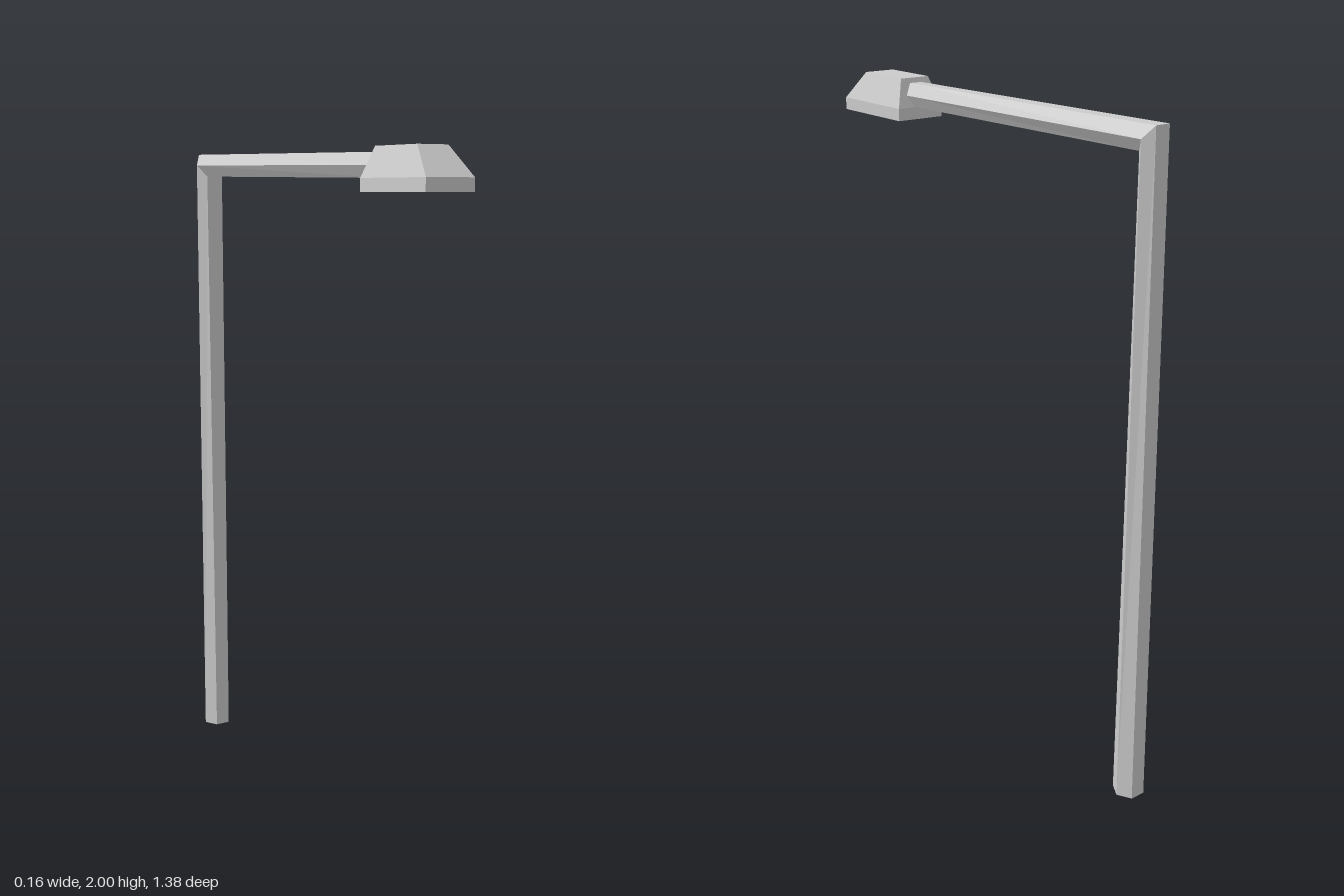
import * as THREE from 'three';

const material = new THREE.MeshStandardMaterial({ color: 0xcccccc, flatShading: true });

// Skin a list of matching rings (counter-clockwise seen from the far end) and cap both ends
function loft(name, rings) {
  const n = rings[0].length;
  const index = [];
  for (let r = 0; r < rings.length - 1; r++) {
    for (let i = 0; i < n; i++) {
      const a = r * n + i, b = r * n + (i + 1) % n;
      index.push(a, b, b + n, a, b + n, a + n);
    }
  }
  const last = (rings.length - 1) * n;
  for (let i = 1; i < n - 1; i++) {
    index.push(0, i + 1, i, last, last + i, last + i + 1);
  }
  const indexed = new THREE.BufferGeometry();
  indexed.setAttribute('position', new THREE.Float32BufferAttribute(rings.flat(2), 3));
  indexed.setIndex(index);
  const geometry = indexed.toNonIndexed();
  geometry.computeVertexNormals();
  const mesh = new THREE.Mesh(geometry, material);
  mesh.name = name;
  return mesh;
}

// Hexagon of half-width w, centred at (y, z); (dy, dz) leads to its outer flat side
function hexRing(w, y, z, dy, dz) {
  return Array.from({ length: 6 }, (_, i) => {
    const a = i * Math.PI / 3;
    const s = Math.sin(a) / Math.sin(Math.PI / 3);
    return [w * Math.cos(a), y + dy * s, z + dz * s];
  });
}

// Rectangle lying flat at height y
function rectRing(halfX, y, back, front) {
  return [[halfX, y, front], [halfX, y, back], [-halfX, y, back], [-halfX, y, front]];
}

export function createModel() {
  const group = new THREE.Group();
  group.name = 'streetLamp';

  // Tapered hexagonal post with a mitred bend into the arm
  group.add(loft('postAndArm', [
    hexRing(0.047, 0, -0.645, 0, -0.042),
    hexRing(0.047, 1.964, -0.646, 0.036, -0.029),
    hexRing(0.041, 1.95, 0.42, 0.035, 0),
  ]));

  // Lamp head: short upright rim below a sloping hood
  group.add(loft('lampHead', [
    rectRing(0.079, 1.878, 0.388, 0.69),
    rectRing(0.079, 1.915, 0.388, 0.69),
    rectRing(0.05, 2, 0.416, 0.611),
  ]));

  return group;
}
